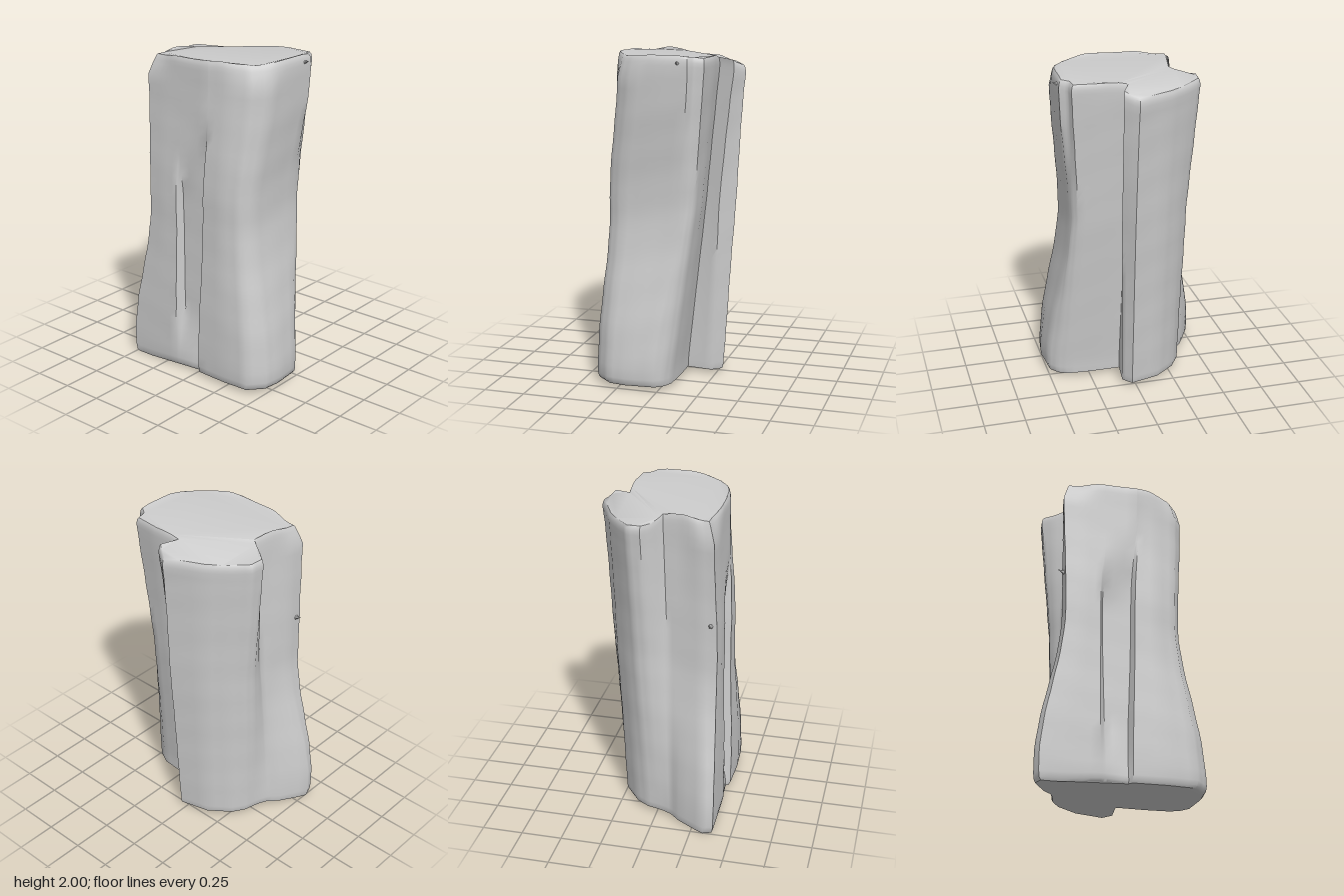
import * as THREE from 'three';
import { toCreasedNormals } from 'three/addons/utils/BufferGeometryUtils.js';

// Matching x,z outlines at three heights, running front -> +x -> back -> -x
const TOP = [-.375, .345, -.25, .35, -.12, .35, -.1, .35, .09, .35, .11, .345, .22, .325, .36, .275, .425, .18,
  .435, 0, .435, -.17, .39, -.2, .38, -.255, .22, -.27, .05, -.26, .1, -.36, .02, -.41, -.2, -.31,
  -.33, -.22, -.42, -.15, -.43, -.07, -.37, -.02, -.285, .03, -.315, .15, -.36, .26];
const MID = [-.355, .37, -.25, .378, -.145, .375, -.125, .375, .05, .375, .065, .375, .2, .375, .32, .345, .365, .27,
  .375, .1, .375, -.1, .365, -.15, .335, -.185, .2, -.195, .05, -.18, .09, -.27, .03, -.36, -.17, -.285,
  -.28, -.2, -.355, -.12, -.365, -.05, -.345, .01, -.315, .065, -.335, .16, -.36, .28];
const LOW = [-.5, .39, -.32, .39, -.15, .39, -.11, .385, .02, .385, .04, .4, .25, .41, .42, .4, .5, .31,
  .515, .2, .5, .02, .46, -.03, .4, -.06, .25, -.07, .06, -.07, .08, -.23, .03, -.29, -.15, -.24,
  -.28, -.14, -.33, -.06, -.345, 0, -.36, .05, -.38, .1, -.43, .16, -.52, .335];
const N = TOP.length / 2, SUB = 3;
const Y0 = .08, Y1 = 1.1, Y2 = 1.95;
const smooth = THREE.MathUtils.smoothstep;
const lerp = THREE.MathUtils.lerp;
const ramp = (y, a, b) => THREE.MathUtils.clamp((y - a) / (b - a), 0, 1);

// Outline at height y: the back leans straight, the front and sides flare in a curve
function outline(y) {
  const groove = {
    3: .045 * smooth(y, .08, .42) * (1 - smooth(y, 1.1, 1.45)),
    4: .045 * smooth(y, -.1, .35) * (1 - smooth(y, 1.25, 1.68)),
  };
  const pts = [];
  for (let i = 0; i < N; i++) {
    const ease = i > 10 && i < 23 ? ramp : smooth;
    const toMid = ease(y, Y0, Y1), toTop = ease(y, Y1, Y2);
    const value = k => lerp(lerp(LOW[k], MID[k], toMid), TOP[k], toTop);
    pts.push(new THREE.Vector2(value(2 * i), value(2 * i + 1) - (groove[i] ?? 0)));
  }
  const fine = [];
  pts.forEach((p, i) => {
    for (let s = 0; s < SUB; s++) fine.push(p.clone().lerp(pts[(i + 1) % N], s / SUB));
  });
  return fine;
}

function trunkGeometry() {
  // Each ring: height and inset scale, rounded over at both ends
  const rings = [[.025, .97], [.04, .992], [.07, 1]];
  for (let i = 1; i <= 28; i++) rings.push([.07 + i * 1.86 / 28, 1]);
  rings.push([1.955, .995], [1.975, .985], [1.988, .965]);

  const pos = [], idx = [], M = N * SUB;
  for (const [y, s] of rings) {
    for (const p of outline(y)) {
      const bump = 1 + .006 * Math.sin(9 * y + 5 * p.x) * Math.sin(17 * y + 7 * p.y + 4 * p.x);
      const high = smooth(y, 1.7, 1.98), low = 1 - smooth(y, 0, .2);
      // Front corners are worn down at the top
      const corner = smooth(Math.abs(p.x) + p.y, .48, .68);
      const scale = s * bump * (1 - .08 * corner * smooth(y, 1.84, 1.99));
      // The rear lobe is cut slightly lower
      const dip = high * (.05 * smooth(-.7 * (p.x + p.y), .1, .28) + .018 * smooth(-p.y, .1, .27)
        + .02 * corner - .012 * smooth(p.x, 0, .2));
      const sag = low * .025 * smooth(-p.x, .1, .42) * smooth(p.y, 0, .35);
      pos.push(p.x * scale, y - dip - sag, p.y * scale);
    }
  }
  for (let r = 0; r < rings.length - 1; r++) {
    for (let i = 0; i < M; i++) {
      const a = r * M + i, b = r * M + (i + 1) % M;
      idx.push(a, b, b + M, a, b + M, a + M);
    }
  }
  // Cut faces at both ends
  const cap = (start, up) => {
    const flat = [];
    for (let i = 0; i < M; i++) flat.push(new THREE.Vector2(pos[3 * (start + i)], -pos[3 * (start + i) + 2]));
    for (const [a, b, c] of THREE.ShapeUtils.triangulateShape(flat, [])) {
      const ccw = (flat[b].x - flat[a].x) * (flat[c].y - flat[a].y) - (flat[b].y - flat[a].y) * (flat[c].x - flat[a].x) > 0;
      if (ccw === up) idx.push(start + a, start + b, start + c);
      else idx.push(start + a, start + c, start + b);
    }
  };
  cap(0, false);
  cap((rings.length - 1) * M, true);

  const g = new THREE.BufferGeometry();
  g.setAttribute('position', new THREE.Float32BufferAttribute(pos, 3));
  g.setIndex(idx);
  return toCreasedNormals(g, .9);
}

export function createModel() {
  const model = new THREE.Group();
  model.name = 'woodLog';
  const material = new THREE.MeshStandardMaterial({ color: 0xcccccc });
  const trunk = new THREE.Mesh(trunkGeometry(), material);
  trunk.name = 'trunk';
  model.add(trunk);

  // Small splinters sticking out of the bark
  const splinter = (name, x, y, z, tilt) => {
    const m = new THREE.Mesh(new THREE.ConeGeometry(.025, .07, 6), material);
    m.name = name;
    m.position.set(x, y, z);
    m.rotation.z = tilt;
    model.add(m);
  };
  splinter('topSplinter', .43, 1.955, -.11, -1.3);
  splinter('sideSplinter', -.365, 1.34, .33, 1.3);
  return model;
}
